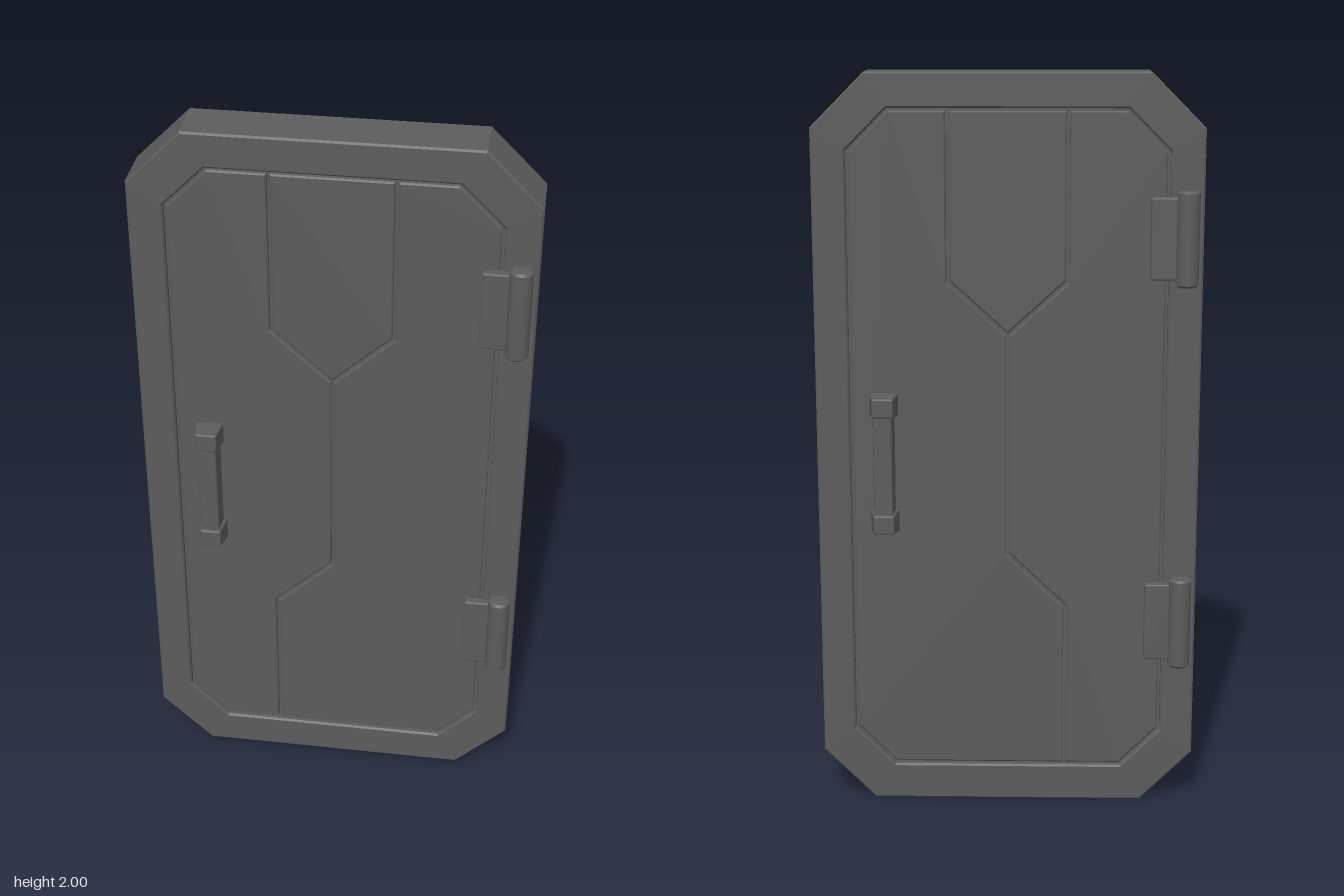
import * as THREE from 'three';
import { RoundedBoxGeometry } from 'three/addons/geometries/RoundedBoxGeometry.js';

const metal = new THREE.MeshStandardMaterial({ color: 0x5c5c5c });
metal.name = 'dark grey metal';

const toPoints = (list) => list.map(([x, y]) => new THREE.Vector2(x, y));

// Rectangle with cut corners
function octagon(w, y0, y1, cut) {
  return toPoints([
    [-w, y0 + cut], [-w + cut, y0], [w - cut, y0], [w, y0 + cut],
    [w, y1 - cut], [w - cut, y1], [-w + cut, y1], [-w, y1 - cut],
  ]);
}

// Plate from z0 to z1 with bevelled edges, pulled in by the inset
function plate(name, points, z0, z1, bevel, inset = 0, hole = null) {
  const shape = new THREE.Shape(points);
  if (hole) shape.holes.push(new THREE.Path(hole));
  const geometry = new THREE.ExtrudeGeometry(shape, {
    depth: z1 - z0 - 2 * bevel, bevelEnabled: true, bevelThickness: bevel,
    bevelSize: bevel, bevelOffset: -bevel - inset, bevelSegments: 1,
  });
  geometry.translate(0, 0, z0 + bevel);
  const mesh = new THREE.Mesh(geometry, metal);
  mesh.name = name;
  return mesh;
}

// Rounded block whose outer (+z) side is narrower
function taperedBlock(name, w, h, d, sx, sy, x, y, z) {
  const geometry = new RoundedBoxGeometry(w, h, d, 2, 0.006);
  const p = geometry.attributes.position;
  for (let i = 0; i < p.count; i++) {
    const t = p.getZ(i) / d + 0.5;
    p.setXY(i, p.getX(i) * (1 - t * (1 - sx)), p.getY(i) * (1 - t * (1 - sy)));
  }
  const mesh = new THREE.Mesh(geometry, metal);
  mesh.position.set(x, y, z);
  mesh.name = name;
  return mesh;
}

function handle() {
  const g = new THREE.Group();
  g.name = 'handle';
  g.add(taperedBlock('grip', 0.06, 0.29, 0.052, 0.82, 1, -0.331, 0.97, 0.089));
  for (const y of [0.81, 1.13]) {
    g.add(taperedBlock('handleEnd', 0.078, 0.064, 0.06, 0.72, 0.8, -0.33, y, 0.0935));
  }
  return g;
}

function hinge(y) {
  const g = new THREE.Group();
  g.name = 'hinge';
  const leaf = new THREE.Mesh(new RoundedBoxGeometry(0.09, 0.215, 0.028, 2, 0.005), metal);
  leaf.name = 'hingeLeaf';
  leaf.position.set(0.417, y, 0.075);
  // Barrel with softened ends
  const r = 0.03, h = 0.125;
  const profile = toPoints([[0, -h], [r - 0.006, -h], [r - 0.006, -h], [r, -h + 0.006],
    [r, -h + 0.006], [r, h - 0.006], [r, h - 0.006], [r - 0.006, h], [r - 0.006, h], [0, h]]);
  const barrel = new THREE.Mesh(new THREE.LatheGeometry(profile, 20), metal);
  barrel.name = 'hingeBarrel';
  barrel.position.set(0.468, y, 0.085);
  g.add(leaf, barrel);
  return g;
}

// One face of the door; side is the direction the lower seam turns
function doorFace(name, side) {
  const g = new THREE.Group();
  g.name = name;
  const z0 = 0.045, z1 = 0.066, bevel = 0.004, gap = 0.004;
  const top = [[-0.157, 1.905], [-0.157, 1.46], [0, 1.317], [0.157, 1.46], [0.157, 1.905]];
  const seam = [[0, 1.317], [0, 0.715], [side * 0.157, 0.565], [side * 0.157, 0.105]];
  const edge = (s) => [[s * 0.31, 0.105], [s * 0.418, 0.213], [s * 0.418, 1.797], [s * 0.31, 1.905]];
  const left = [[-0.157, 1.905], [-0.157, 1.46], ...seam, ...edge(-1)];
  const right = [[0.157, 1.905], [0.157, 1.46], ...seam, ...edge(1)];
  g.add(plate('topPanel', toPoints(top), z0, z1, bevel, gap));
  g.add(plate('handlePanel', toPoints(left), z0, z1, bevel, gap));
  g.add(plate('hingePanel', toPoints(right), z0, z1, bevel, gap));
  g.add(handle(), hinge(1.575), hinge(0.53));
  return g;
}

export function createModel() {
  const model = new THREE.Group();
  model.name = 'door';

  // Frame and the slab behind the seams
  model.add(plate('frame', octagon(0.511, 0, 2, 0.142), -0.07, 0.07, 0.005, 0,
    octagon(0.421, 0.102, 1.908, 0.109)));
  model.add(plate('core', octagon(0.45, 0.07, 1.93, 0.12), -0.05, 0.05, 0.002));

  // Both faces, the back one turned around
  const front = doorFace('frontFace', -1);
  const back = doorFace('backFace', 1);
  back.rotation.y = Math.PI;
  model.add(front, back);
  return model;
}
